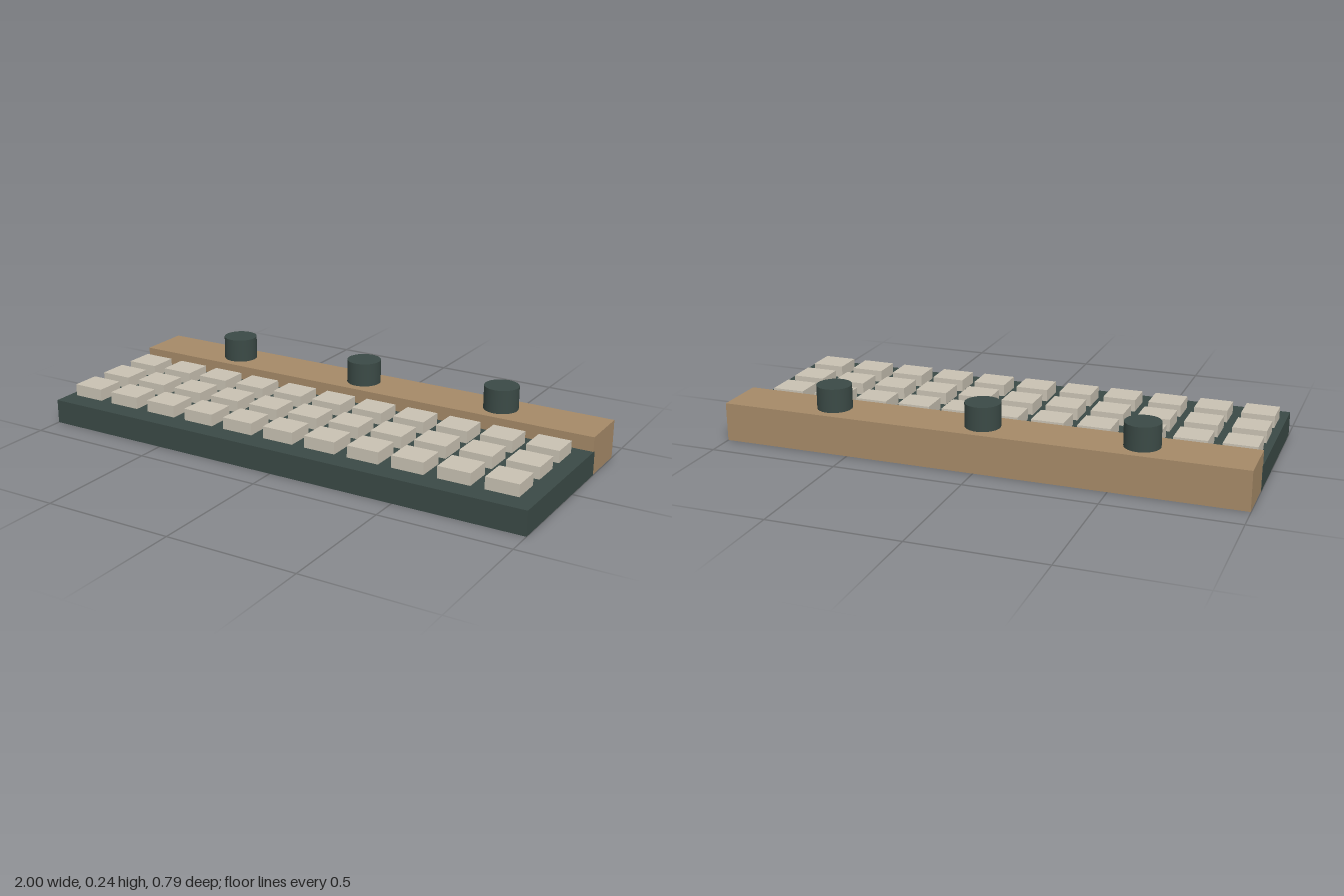
import * as THREE from 'three';

export function createModel() {
  const model = new THREE.Group();
  const darkGreen = new THREE.MeshStandardMaterial({ color: 0x3b4a46 });
  darkGreen.name = 'dark green';
  const wood = new THREE.MeshStandardMaterial({ color: 0xa68a68 });
  wood.name = 'wood';
  const cream = new THREE.MeshStandardMaterial({ color: 0xc9c2b3 });
  cream.name = 'cream';

  const add = (name, geometry, material, x, y, z, parent = model) => {
    const mesh = new THREE.Mesh(geometry, material);
    mesh.name = name;
    mesh.position.set(x, y, z);
    parent.add(mesh);
    return mesh;
  };

  // Flat base slab
  const baseTop = 0.093;
  add('base', new THREE.BoxGeometry(2, baseTop, 0.594), darkGreen, 0, baseTop / 2, 0.097);

  // Raised rear bar, overlapping the back edge of the base; inset a hair to avoid coplanar faces
  add('rearBar', new THREE.BoxGeometry(1.998, 0.148, 0.203), wood, 0, 0.075, -0.2915);

  // Three rows of eleven keys
  const keys = new THREE.Group();
  keys.name = 'keys';
  model.add(keys);
  const keyGeometry = new THREE.BoxGeometry(0.126, 0.056, 0.114);
  for (let row = 0; row < 3; row++) {
    for (let column = 0; column < 11; column++) {
      add('key', keyGeometry, cream, -0.909 + column * 0.1779, 0.111, -0.086 + row * 0.17, keys);
    }
  }

  // Three round knobs on the bar
  const knobGeometry = new THREE.CylinderGeometry(0.0665, 0.0665, 0.1, 32);
  for (const x of [-0.595, -0.003, 0.59]) {
    add('knob', knobGeometry, darkGreen, x, 0.19, -0.292);
  }

  return model;
}
